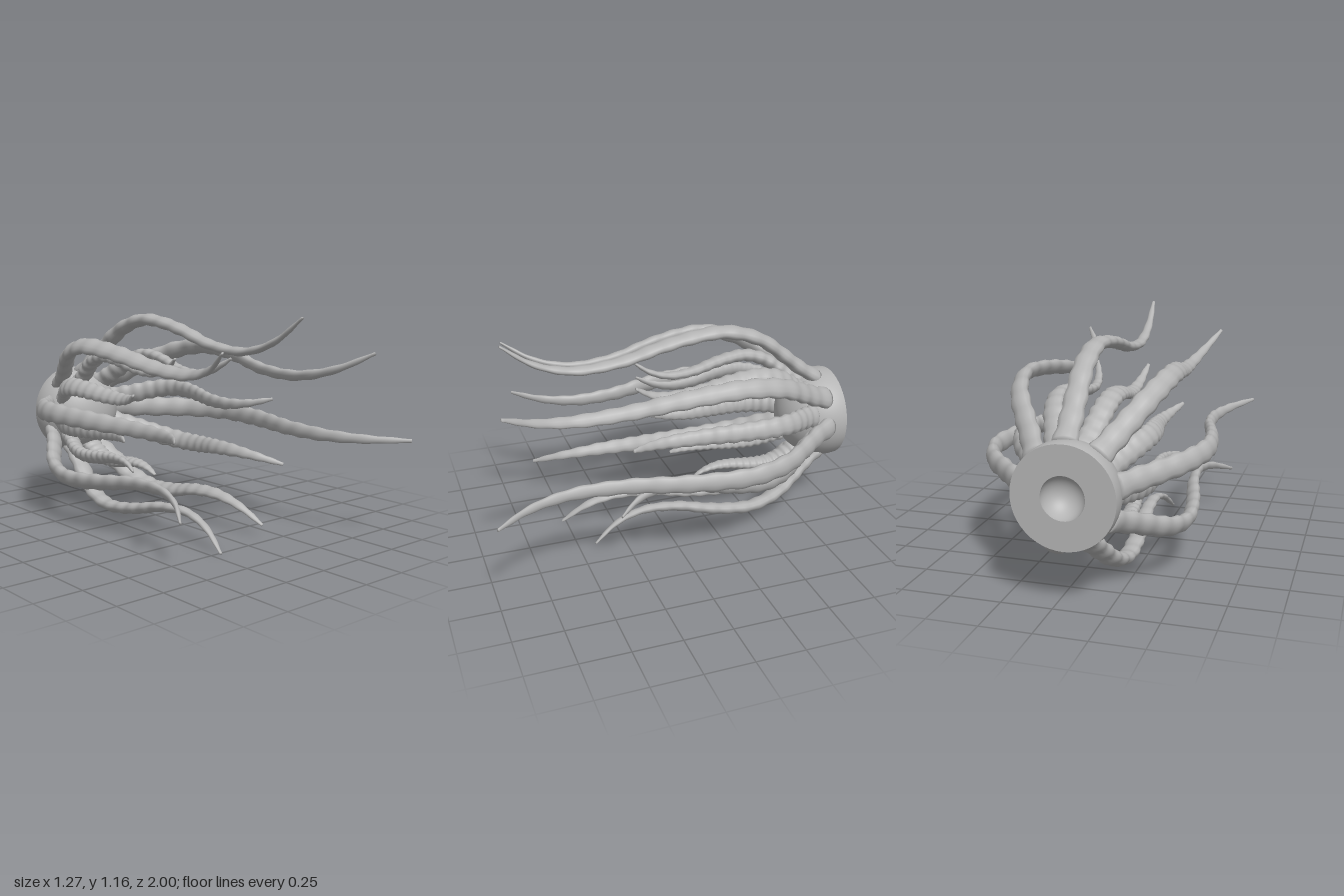
import * as THREE from 'three';

const CX = -0.055, CY = 0.525; // axis of the body

// Linear interpolation through [u, value] pairs
const lerpTable = (table, u) => {
  let i = 1;
  while (i < table.length - 1 && table[i][0] < u) i++;
  const [a, va] = table[i - 1], [b, vb] = table[i];
  return va + (vb - va) * (u - a) / (b - a);
};

// Outward swing along a tentacle: [fraction of length, fraction of tip radius]
const SWING = [[0, 0], [0.06, 0.17], [0.12, 0.38], [0.21, 0.67], [0.325, 0.83], [0.425, 0.81],
  [0.525, 0.73], [0.64, 0.6], [0.755, 0.55], [0.81, 0.57], [0.87, 0.64], [0.925, 0.755], [1, 1]];
// Half width along a tentacle
const WIDTH = [[0, 0.06], [0.3, 0.053], [0.52, 0.047], [0.75, 0.036], [0.87, 0.025], [0.96, 0.015], [1, 0.009]];

// Flattened, beaded tube from the body to the tip, bending in one radial plane
function tentacleGeometry([tx, ty, tz], rootR, rootZ) {
  const SEG = 112, SIDES = 12;
  const angle = Math.atan2(ty - CY, tx - CX);
  const tipR = Math.hypot(tx - CX, ty - CY);
  const out = new THREE.Vector3(Math.cos(angle), Math.sin(angle), 0);
  const side = new THREE.Vector3(-out.y, out.x, 0);
  const curve = new THREE.CatmullRomCurve3(SWING.map(([u, g]) => {
    const r = rootR + (tipR - rootR) * g;
    return new THREE.Vector3(CX + out.x * r, CY + out.y * r, rootZ + (tz - rootZ) * u);
  }));
  const pos = [], index = [];
  const ring = (c, n, w) => {
    for (let j = 0; j < SIDES; j++) {
      const a = j / SIDES * Math.PI * 2;
      const p = c.clone().addScaledVector(side, Math.cos(a) * w).addScaledVector(n, Math.sin(a) * w * 0.64);
      pos.push(p.x, p.y, p.z);
    }
  };
  for (let i = 0; i <= SEG; i++) {
    const u = i / SEG;
    const c = curve.getPointAt(u);
    const n = curve.getTangentAt(u).cross(side).normalize();
    const w = lerpTable(WIDTH, u) * (1 + 0.07 * Math.sin(u * Math.PI * 2 * 16));
    if (i === 0) ring(c, n, 0.0001); // root cap
    ring(c, n, w);
    if (i === SEG) ring(c, n, 0.0001); // tip cap
  }
  for (let i = 0; i < SEG + 2; i++) {
    for (let j = 0; j < SIDES; j++) {
      const k = (j + 1) % SIDES;
      const a = i * SIDES + j, b = i * SIDES + k;
      index.push(a, b, a + SIDES, b, b + SIDES, a + SIDES);
    }
  }
  const g = new THREE.BufferGeometry();
  g.setAttribute('position', new THREE.Float32BufferAttribute(pos, 3));
  g.setIndex(index);
  g.computeVertexNormals();
  return g;
}

// Tentacle tips, longest to shortest, spiralling round the body
const OUTER_TIPS = [[0.63, 0.53, 1], [0.43, 0.97, 0.915], [0.005, 1.155, 0.83], [-0.42, 1.015, 0.755],
  [-0.63, 0.635, 0.68], [-0.53, 0.235, 0.6], [-0.205, 0.005, 0.52], [0.165, 0.06, 0.43]];
const INNER_TIPS = [[0.395, 0.335, 0.35], [0.378, 0.68, 0.28], [0.155, 0.905, 0.195], [-0.152, 0.918, 0.11],
  [-0.36, 0.74, 0.03], [-0.36, 0.495, -0.05], [-0.245, 0.305, -0.13], [-0.04, 0.245, -0.2]];

export function createModel() {
  const model = new THREE.Group();
  model.name = 'tentacleCluster';
  const grey = new THREE.MeshStandardMaterial({ color: 0xb4b4b4 });
  grey.name = 'grey';
  const hollowGrey = grey.clone(); // same colour, seen from inside
  hollowGrey.side = THREE.DoubleSide;

  const add = (name, geometry, material = grey) => {
    const mesh = new THREE.Mesh(geometry, material);
    mesh.name = name;
    model.add(mesh);
    return mesh;
  };

  // Domed body, cut flat at the back
  const R = 0.25, Z = -0.955, cut = Math.acos((-1 - Z) / R), rim = R * Math.sin(cut);
  add('bodyDome', new THREE.SphereGeometry(R, 48, 28, 0, Math.PI * 2, 0, cut).rotateX(Math.PI / 2))
    .position.set(CX, CY, Z);
  add('backRim', new THREE.RingGeometry(0.104, rim, 48).rotateY(Math.PI)).position.set(CX, CY, -1);

  // Round hollow in the back
  add('backHollow', new THREE.SphereGeometry(0.104, 48, 16, 0, Math.PI * 2, 0, Math.PI / 2).rotateX(Math.PI / 2), hollowGrey)
    .position.set(CX, CY, -1);

  // Two rings of tentacles
  OUTER_TIPS.forEach((tip, i) => add(`outerTentacle${i + 1}`, tentacleGeometry(tip, 0.22, -0.91)));
  INNER_TIPS.forEach((tip, i) => add(`innerTentacle${i + 1}`, tentacleGeometry(tip, 0.19, -0.83)));
  return model;
}
